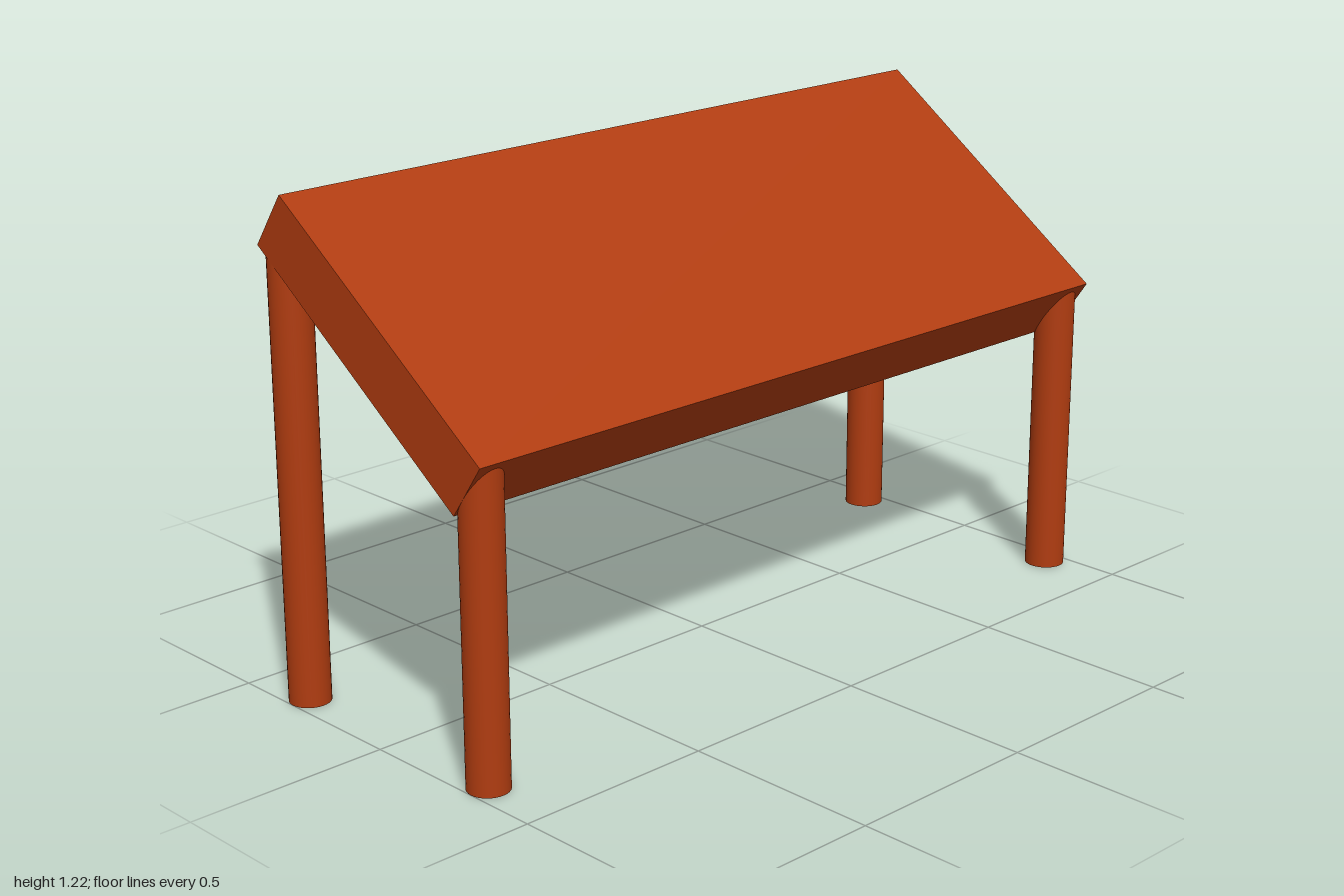
import * as THREE from 'three';

export function createModel() {
  const model = new THREE.Group();
  const material = new THREE.MeshStandardMaterial({ color: 0xb03c10 });

  function add(name, geometry, x, y, z) {
    const mesh = new THREE.Mesh(geometry, material);
    mesh.name = name;
    mesh.position.set(x, y, z);
    model.add(mesh);
    return mesh;
  }

  // Sloping slab, low at the front and high at the back
  const slab = add('slopingTop', new THREE.BoxGeometry(2, 0.156, 0.8), 0, 0.9225, 0.0025);
  slab.rotation.x = THREE.MathUtils.degToRad(35);

  // Round legs, the rear pair taller; their tops run into the slab
  const legs = [
    { name: 'FrontLeg', height: 0.75, z: 0.315 },
    { name: 'BackLeg', height: 1.1, z: -0.325 },
  ];
  for (const { name, height, z } of legs) {
    for (const side of [-1, 1]) {
      const geometry = new THREE.CylinderGeometry(0.05, 0.05, height, 32);
      add((side > 0 ? 'left' : 'right') + name, geometry, side * 0.95, height / 2, z);
    }
  }

  return model;
}
